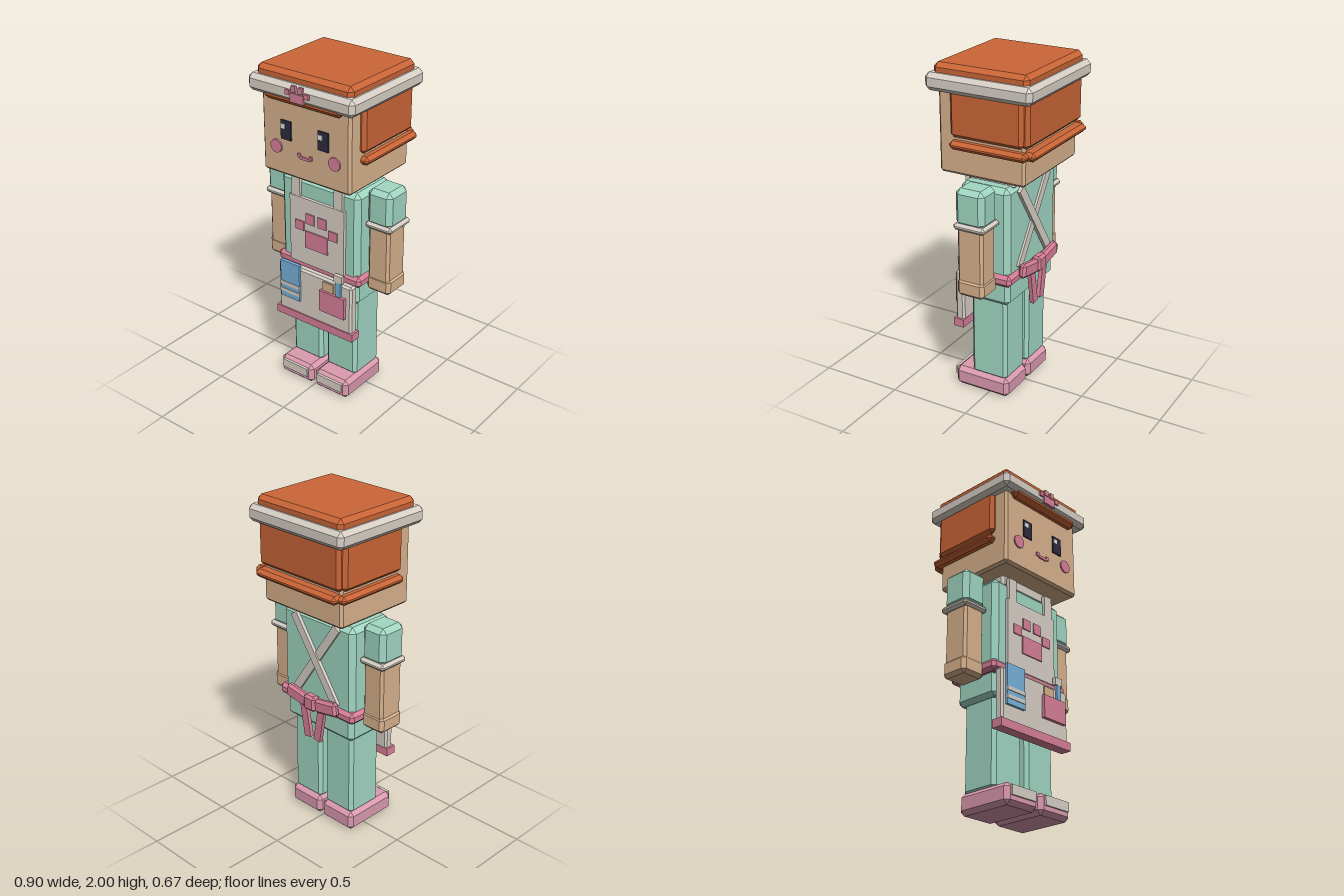
import * as THREE from 'three';
import { ConvexGeometry } from 'three/addons/geometries/ConvexGeometry.js';

const mat = (name, color) => {
  const m = new THREE.MeshStandardMaterial({ color });
  m.name = name;
  return m;
};

// Box with flat chamfers on every edge: hull of 24 points
function chamferBox(w, h, d, b) {
  const half = [w / 2, h / 2, d / 2];
  const pts = [];
  for (const sx of [-1, 1]) for (const sy of [-1, 1]) for (const sz of [-1, 1])
    for (let axis = 0; axis < 3; axis++) {
      const p = half.map((v, i) => (i === axis ? v : v - b));
      pts.push(new THREE.Vector3(p[0] * sx, p[1] * sy, p[2] * sz));
    }
  return new ConvexGeometry(pts);
}

export function createModel() {
  const skin = mat('skin', 0xd9b38e);
  const hair = mat('hair', 0xcc6637);
  const mint = mat('mint cloth', 0xa2d8c4);
  const cream = mat('cream cloth', 0xd9d1c8);
  const rose = mat('rose trim', 0xd88099);
  const pink = mat('pink shoe', 0xdc9bb0);
  const blue = mat('blue cloth', 0x78b4dc);
  const dark = mat('dark eye', 0x2d2d40);
  const white = mat('eye shine', 0xf2f2f2);

  const model = new THREE.Group();
  model.name = 'chef';

  // Box given by its extents; b is the chamfer (0 = plain box)
  const box = (name, m, x0, x1, y0, y1, z0, z1, b = 0) => {
    const [w, h, d] = [x1 - x0, y1 - y0, z1 - z0];
    const mesh = new THREE.Mesh(b ? chamferBox(w, h, d, b) : new THREE.BoxGeometry(w, h, d), m);
    mesh.position.set((x0 + x1) / 2, (y0 + y1) / 2, (z0 + z1) / 2);
    mesh.name = name;
    model.add(mesh);
    return mesh;
  };
  // Same box on both sides, given for the +x side
  const pair = (name, m, x0, x1, ...rest) => [
    box(name + 'Left', m, x0, x1, ...rest),
    box(name + 'Right', m, -x1, -x0, ...rest),
  ];
  // Tilt a mirrored pair in opposite directions
  const tilt = ([l, r], a) => { l.rotation.z = a; r.rotation.z = -a; };

  // Head and face
  box('head', skin, -0.302, 0.302, 1.38, 1.88, -0.27, 0.265, 0.015);
  for (const x of [-0.128, 0.126]) {
    box('eye', dark, x - 0.035, x + 0.035, 1.6, 1.71, 0.265, 0.274);
    box('eyeShine', white, x - 0.03, x - 0.002, 1.663, 1.69, 0.273, 0.278);
  }
  for (const x of [-0.2, 0.2]) {
    const cheek = new THREE.Mesh(new THREE.CylinderGeometry(0.039, 0.039, 0.009, 20), rose);
    cheek.rotation.x = Math.PI / 2;
    cheek.position.set(x, 1.545, 0.269);
    cheek.name = 'cheek';
    model.add(cheek);
  }
  box('mouth', rose, -0.032, 0.032, 1.512, 1.528, 0.265, 0.274);
  pair('mouthCorner', rose, 0.03, 0.05, 1.52, 1.543, 0.265, 0.273);

  // Hair: crown, fringe, sides, back and the rolled ends
  box('crown', hair, -0.322, 0.322, 1.86, 2.0, -0.298, 0.286, 0.025);
  box('fringe', hair, -0.265, 0.265, 1.82, 1.9, 0.2, 0.307, 0.025);
  pair('sideHair', hair, 0.27, 0.33, 1.6, 1.88, -0.27, 0.18, 0.02);
  box('backHair', hair, -0.31, 0.31, 1.6, 1.88, -0.298, -0.23, 0.02);
  pair('sideRoll', hair, 0.285, 0.35, 1.535, 1.585, -0.3, 0.18, 0.02);
  box('backRoll', hair, -0.31, 0.31, 1.535, 1.585, -0.335, -0.25, 0.02);

  // Cap band with its paw badge
  box('capBand', cream, -0.357, 0.357, 1.847, 1.947, -0.333, 0.322, 0.025);
  box('badgePad', rose, -0.045, 0.045, 1.857, 1.907, 0.318, 0.332);
  pair('badgeOuterToe', rose, 0.05, 0.08, 1.892, 1.919, 0.318, 0.332);
  pair('badgeInnerToe', rose, 0.01, 0.038, 1.912, 1.947, 0.318, 0.332);

  // Torso and hips
  box('collar', cream, -0.2, 0.2, 1.31, 1.39, -0.148, 0.143, 0.015);
  box('torso', mint, -0.277, 0.277, 0.74, 1.335, -0.157, 0.157, 0.03);
  box('hips', mint, -0.265, 0.265, 0.62, 0.78, -0.15, 0.145, 0.025);
  box('belt', rose, -0.297, 0.297, 0.755, 0.825, -0.178, 0.17, 0.02);

  // Arms
  pair('sleeve', mint, 0.278, 0.44, 1.14, 1.36, -0.092, 0.09, 0.028);
  pair('cuff', cream, 0.272, 0.45, 1.12, 1.16, -0.104, 0.096, 0.015);
  pair('forearm', skin, 0.288, 0.43, 0.78, 1.14, -0.082, 0.08, 0.015);
  pair('hand', skin, 0.28, 0.44, 0.72, 0.825, -0.088, 0.083, 0.02);

  // Legs and shoes
  pair('leg', mint, 0.017, 0.237, 0.11, 0.66, -0.118, 0.116, 0.02);
  pair('shoe', pink, 0.008, 0.252, 0, 0.122, -0.135, 0.225, 0.025);
  pair('toeCap', cream, 0.038, 0.222, 0.05, 0.105, 0.22, 0.236);

  // Apron bib, straps and paw print
  box('bib', cream, -0.193, 0.193, 0.8, 1.22, 0.15, 0.176);
  pair('frontStrap', cream, 0.12, 0.18, 1.2, 1.355, 0.15, 0.174);
  box('pawPad', rose, -0.08, 0.08, 0.912, 1.02, 0.172, 0.183);
  pair('pawOuterToe', rose, 0.088, 0.15, 1.015, 1.073, 0.172, 0.183);
  pair('pawInnerToe', rose, 0.013, 0.073, 1.068, 1.132, 0.172, 0.183);

  // Apron skirt and hem
  box('skirt', cream, -0.267, 0.267, 0.44, 0.77, 0.145, 0.203, 0.012);
  box('hem', rose, -0.28, 0.28, 0.418, 0.468, 0.143, 0.21);

  // Towel on the right, pocket with tools on the left
  box('towel', blue, -0.24, -0.1, 0.553, 0.793, 0.197, 0.217);
  for (const y of [0.597, 0.645])
    box('towelStripe', cream, -0.242, -0.098, y - 0.011, y + 0.011, 0.214, 0.221);
  box('pocket', rose, 0.052, 0.23, 0.557, 0.693, 0.197, 0.223);
  box('card', skin, 0.067, 0.145, 0.66, 0.75, 0.198, 0.21);
  box('brushHandle', blue, 0.167, 0.198, 0.66, 0.79, 0.198, 0.217);
  box('brushHead', cream, 0.153, 0.21, 0.785, 0.83, 0.195, 0.219);

  // Straps crossing on the back
  [1, -1].forEach((s, i) => {
    const z = -0.16 - i * 0.01;
    const strap = box('backStrap', cream, -0.026, 0.026, 0.785, 1.365, z - 0.01, z + 0.01);
    strap.rotation.z = s * 0.6;
  });

  // Bow at the back
  box('bowKnot', rose, -0.045, 0.045, 0.765, 0.86, -0.232, -0.172, 0.015);
  tilt(pair('bowLoop', rose, 0.03, 0.2, 0.775, 0.86, -0.22, -0.174, 0.015), 0.16);
  tilt(pair('bowTail', rose, 0.03, 0.08, 0.57, 0.79, -0.202, -0.178), -0.17);

  return model;
}
